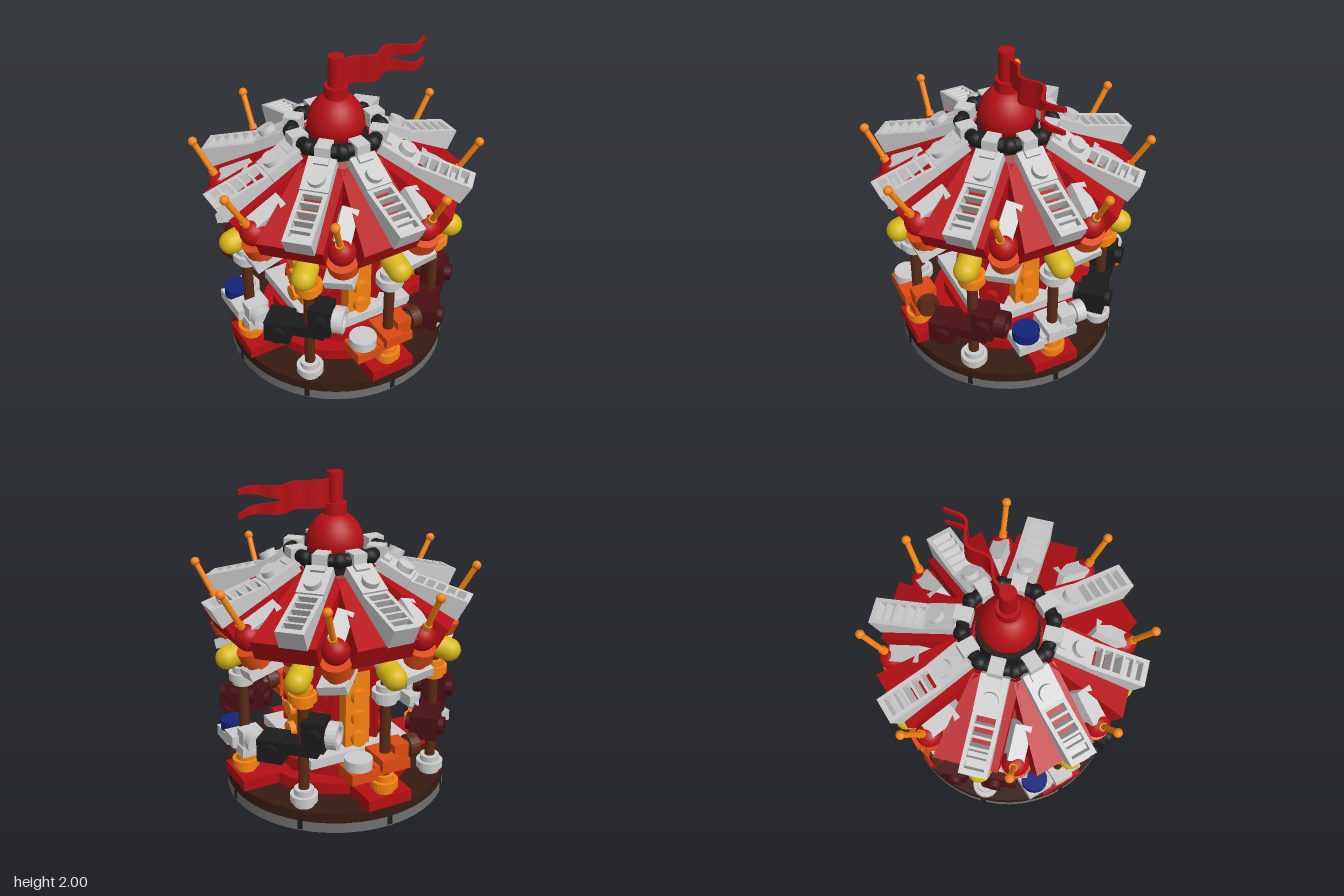
import * as THREE from 'three';

const mat = (color) => new THREE.MeshStandardMaterial({ color });
const M = {
  grey: mat(0xcccccc), white: mat(0xc8c8c8), red: mat(0xb40f14), black: mat(0x1c1c1c), brown: mat(0x351c12),
  pole: mat(0x5a2a14), orange: mat(0xf58210), rust: mat(0xdc4a12), maroon: mat(0x4a1014),
  yellow: mat(0xd8b818), blue: mat(0x14237a), stone: mat(0x707070),
};
M.inner = mat(0x8c0c10);
M.inner.side = THREE.DoubleSide;

function add(parent, name, geo, m, x = 0, y = 0, z = 0) {
  const mesh = new THREE.Mesh(geo, m);
  mesh.name = name;
  mesh.position.set(x, y, z);
  parent.add(mesh);
  return mesh;
}
// Box given by its extents
function block(parent, name, m, x0, x1, y0, y1, z0, z1) {
  return add(parent, name, new THREE.BoxGeometry(x1 - x0, y1 - y0, z1 - z0), m, (x0 + x1) / 2, (y0 + y1) / 2, (z0 + z1) / 2);
}
// Upright cylinder standing from y0 to y1
function drum(parent, name, m, r, y0, y1, x = 0, z = 0, seg = 24) {
  return add(parent, name, new THREE.CylinderGeometry(r, r, y1 - y0, seg), m, x, (y0 + y1) / 2, z);
}
// Round bar between two points
function rod(parent, name, m, r, a, b) {
  const p = new THREE.Vector3(...a), q = new THREE.Vector3(...b), d = q.clone().sub(p);
  const mesh = add(parent, name, new THREE.CylinderGeometry(r, r, d.length(), 16), m);
  mesh.position.copy(p).lerp(q, 0.5);
  mesh.quaternion.setFromUnitVectors(new THREE.Vector3(0, 1, 0), d.normalize());
  return mesh;
}
function group(parent, name) {
  const g = new THREE.Group();
  g.name = name;
  parent.add(g);
  return g;
}
const points = (list) => list.map((p) => new THREE.Vector2(...p));
// Turned part with sharp steps
function stepped(profile) {
  const geo = new THREE.LatheGeometry(points(profile), 24).toNonIndexed();
  geo.computeVertexNormals();
  return geo;
}

// Slatted wedge tile with slots cut through, thickest at the eave
function grilleGeometry() {
  const s = new THREE.Shape(points([[-0.08, -0.34], [0.08, -0.34], [0.08, 0], [-0.08, 0]]));
  for (let i = 0; i < 5; i++) {
    const y = -0.318 + i * 0.06;
    s.holes.push(new THREE.Path(points([[-0.056, y], [-0.056, y + 0.045], [0.056, y + 0.045], [0.056, y]])));
  }
  const geo = new THREE.ExtrudeGeometry(s, { depth: 0.13, bevelEnabled: false }).rotateX(Math.PI / 2);
  const p = geo.attributes.position;
  for (let i = 0; i < p.count; i++) if (p.getY(i) > -0.01) p.setY(i, p.getZ(i) * 0.22);
  geo.computeVertexNormals();
  return geo;
}

// Tapered red roof panel, wider towards the eave on one side
function panelGeometry() {
  const s = new THREE.Shape(points([[-0.13, -0.53], [0.13, -0.53], [0.12, -0.015], [-0.25, -0.015]]));
  return new THREE.ExtrudeGeometry(s, { depth: 0.14, bevelEnabled: false }).rotateX(Math.PI / 2);
}

function roofSector(parent) {
  const g = group(parent, 'roofSector');
  const t = group(g, 'roofSlope');
  t.position.set(0, 1.33, 0.8);
  t.rotation.x = 0.49;
  add(t, 'roofGrille', grilleGeometry(), M.grey);
  block(t, 'grilleEnd', M.grey, -0.075, 0.075, -0.125, -0.06, -0.12, -0.01);
  add(t, 'roofPanel', panelGeometry(), M.red, 0, -0.131, 0);
  block(t, 'studPlate', M.grey, -0.08, 0.08, -0.13, -0.066, -0.55, -0.342);
  drum(t, 'roofStud', M.grey, 0.05, -0.066, -0.03, 0, -0.41);
  block(t, 'hingeArm', M.grey, -0.042, 0.042, -0.12, -0.05, -0.6, -0.5);
  // Clip gripping the crown ring
  block(g, 'ringClip', M.grey, -0.042, 0.042, 1.51, 1.598, 0.2, 0.3);
  // Small sloped block beside the panel
  const side = block(t, 'sideBlock', M.grey, 0.14, 0.235, -0.25, -0.13, -0.31, -0.1);
  side.rotation.z = -0.3;
  // Ball, collar and antenna
  const collar = group(g, 'eaveCollar');
  collar.position.set(0.2, 1.08, 0.6);
  collar.rotation.x = 0.4;
  drum(collar, 'collarDisc', M.rust, 0.09, -0.02, 0.055);
  drum(collar, 'collarBase', M.rust, 0.07, -0.06, -0.02);
  add(g, 'eaveBall', new THREE.SphereGeometry(0.078, 20, 14), M.red, 0.2, 1.19, 0.635);
  rod(g, 'antenna', M.orange, 0.017, [0.2, 1.2, 0.645], [0.205, 1.46, 0.79]);
  rod(g, 'antennaFoot', M.orange, 0.024, [0.2, 1.23, 0.66], [0.2, 1.28, 0.69]);
  add(g, 'antennaTip', new THREE.SphereGeometry(0.027, 14, 10), M.orange, 0.205, 1.46, 0.79);
  const bracket = block(g, 'eaveBracket', M.grey, 0.1, 0.27, 0.965, 1.02, 0.46, 0.66);
  bracket.rotation.set(0.3, 0, 0.2);
  // Lamp arm ending in a yellow capsule
  rod(g, 'lampArm', M.black, 0.055, [0, 1.19, 0.34], [0, 1.08, 0.53]);
  rod(g, 'lampSocket', M.white, 0.06, [0, 1.08, 0.53], [0, 1.045, 0.6]);
  const lamp = add(g, 'lamp', new THREE.CapsuleGeometry(0.068, 0.07, 8, 20), M.yellow, 0, 1.015, 0.655);
  lamp.rotation.x = Math.PI / 2 + 0.3;
}

// Pole with a collared bushing at each end
function poleSet(parent, y0, lower, upper) {
  const g = group(parent, 'ridePole');
  drum(g, 'poleShaft', M.pole, 0.031, y0, 0.96, 0, 0.6, 16);
  const geo = stepped([[0, 0], [0.06, 0], [0.06, 0.03], [0.08, 0.03], [0.08, 0.075], [0.057, 0.075], [0.057, 0.11], [0, 0.11]]);
  add(g, 'lowerBushing', geo, lower, 0, y0, 0.6);
  add(g, 'upperBushing', geo, upper, 0, 0.83, 0.6);
}

// Muzzle with a hollow ring end, pointing along +x
function muzzle(g, m, x, y, r) {
  const geo = stepped([[0, 0], [r * 0.7, 0], [r * 0.7, 0.03], [r, 0.03], [r, 0.09], [r * 0.65, 0.09], [r * 0.65, 0.06], [0, 0.06]]);
  add(g, 'animalMuzzle', geo, m, x, y, 0.6).rotation.z = -Math.PI / 2;
}

// Low seat with a round tile behind
function lowRider(parent, body, head, tile) {
  const g = group(parent, 'lowAnimal');
  block(g, 'animalBody', body, -0.1, 0.13, 0.415, 0.475, 0.53, 0.67);
  block(g, 'animalNeck', body, 0.03, 0.12, 0.43, 0.57, 0.54, 0.66);
  block(g, 'saddleSide', body, -0.07, 0.05, 0.45, 0.52, 0.5, 0.7);
  muzzle(g, head, 0.11, 0.52, 0.065);
  block(g, 'tailPlate', body, -0.25, -0.09, 0.4, 0.465, 0.52, 0.68);
  drum(g, 'tailTile', tile, 0.08, 0.465, 0.525, -0.17, 0.6);
}

// Taller animal with a raised neck
function tallRider(parent, body, head, dy) {
  const g = group(parent, 'tallAnimal');
  g.position.y = dy;
  block(g, 'animalBody', body, -0.12, 0.1, 0.54, 0.61, 0.54, 0.66);
  block(g, 'animalNeck', body, 0.01, 0.14, 0.58, 0.76, 0.53, 0.67);
  block(g, 'animalHaunch', body, -0.25, -0.1, 0.48, 0.62, 0.52, 0.68);
  rod(g, 'haunchStud', body, 0.05, [-0.17, 0.55, 0.49], [-0.17, 0.55, 0.71]);
  rod(g, 'neckStud', body, 0.05, [0.08, 0.68, 0.49], [0.08, 0.68, 0.71]);
  muzzle(g, head, 0.12, 0.67, 0.08);
}

function buildBase(root) {
  const g = group(root, 'base');
  drum(g, 'footDisc', M.black, 0.51, 0.035, 0.075, 0, 0, 40);
  // Underside studs
  for (let i = -3; i <= 3; i++) for (let j = -3; j <= 3; j++) {
    const x = i * 0.145, z = j * 0.145;
    if (Math.hypot(x, z) < 0.47) drum(g, 'footStud', M.black, 0.055, 0, 0.04, x, z, 12);
  }
  for (let i = 0; i < 24; i++) {
    const rim = group(g, 'rimSegment');
    rim.rotation.y = i * Math.PI / 12;
    drum(rim, 'rimStud', M.stone, 0.045, 0.058, 0.08, 0, 0.59, 12);
    if (i % 3) block(rim, 'footEdge', M.black, -0.05, 0.05, 0, 0.06, 0.45, 0.505);
    else block(rim, 'rimNotch', M.black, -0.015, 0.015, 0.08, 0.14, 0.64, 0.677);
  }
  drum(g, 'greyRim', M.stone, 0.675, 0.072, 0.135, 0, 0, 48);
  drum(g, 'brownDeck', M.brown, 0.675, 0.135, 0.2, 0, 0, 48);
  drum(g, 'redDeck', M.red, 0.47, 0.2, 0.27, 0, 0, 40);
  drum(g, 'upperDeck', M.red, 0.4, 0.27, 0.35, 0, 0, 8).rotation.y = Math.PI / 8;
  block(g, 'floorPlate', M.grey, -0.335, 0.335, 0.35, 0.41, -0.335, 0.335);
}

function buildFlag(root) {
  const g = group(root, 'flag');
  for (const s of [1, -1]) {
    // Each half narrows along the swallowtail notch and waves in z
    const geo = new THREE.BoxGeometry(0.56, 1, 0.018, 36, 1, 1), p = geo.attributes.position;
    for (let i = 0; i < p.count; i++) {
      const x = p.getX(i) + 0.32, inner = p.getY(i) * s < 0;
      const gap = Math.max(0, (x - 0.33) / 0.27) * 0.055;
      p.setXYZ(i, x, 1.883 + s * (inner ? gap : 0.08), p.getZ(i) + 0.035 * Math.sin((x - 0.15) * 23) * Math.min(1, x * 4));
    }
    geo.computeVertexNormals();
    add(g, 'flagHalf', geo, M.red);
  }
}

export function createModel() {
  const root = new THREE.Group();
  root.name = 'carousel';
  buildBase(root);

  // Central column
  const core = group(root, 'core');
  drum(core, 'coreFill', M.red, 0.24, 0.4, 1.3, 0, 0, 8);
  drum(core, 'coreCap', M.red, 0.42, 0.95, 1.02, 0, 0, 32);
  drum(core, 'coreUpper', M.red, 0.34, 1.02, 1.26, 0, 0, 16);
  add(core, 'roofLining', new THREE.CylinderGeometry(0.2, 0.54, 0.3, 16, 1, true), M.inner, 0, 1.3, 0);

  for (let i = 0; i < 8; i++) {
    const s = group(root, 'sector');
    s.rotation.y = i * Math.PI / 4;
    const diagonal = i % 2 === 1, m = diagonal ? M.red : M.orange;
    roofSector(s);
    block(s, 'coreColumn', m, -0.08, 0.08, 0.41, 0.95, 0.1, 0.285);
    for (let k = 0; k < 4; k++) rod(s, 'columnStud', m, 0.048, [0, 0.46 + k * 0.135, 0.28], [0, 0.46 + k * 0.135, 0.322]);
    if (diagonal) poleSet(s, 0.2, M.white, M.orange);
    else {
      block(s, 'edgeTile', M.red, -0.14, 0.14, 0.2, 0.27, 0.4, 0.675);
      poleSet(s, 0.27, M.orange, M.white);
    }
    if (i % 4 === 0) lowRider(s, M.rust, M.pole, M.white);
    if (i % 4 === 1) tallRider(s, M.maroon, M.maroon, i === 1 ? -0.1 : 0.05);
    if (i % 4 === 2) lowRider(s, M.grey, M.grey, M.blue);
    if (i % 4 === 3) tallRider(s, M.black, M.white, 0);
  }

  // Crown ring, dome and mast
  const crown = group(root, 'crown');
  add(crown, 'crownRing', new THREE.TorusGeometry(0.25, 0.038, 12, 16).rotateX(Math.PI / 2), M.black, 0, 1.553, 0);
  for (let i = 0; i < 8; i++) {
    const a = (i + 0.5) * Math.PI / 4;
    add(crown, 'ringJoint', new THREE.SphereGeometry(0.046, 12, 8), M.black, Math.sin(a) * 0.255, 1.553, Math.cos(a) * 0.255);
  }
  drum(crown, 'crownHub', M.black, 0.18, 1.4, 1.53);
  const dome = [[0, 1.53], [0.15, 1.53], [0.165, 1.58], [0.165, 1.61], [0.158, 1.65], [0.14, 1.69], [0.115, 1.725], [0.085, 1.75], [0.06, 1.762], [0, 1.765]];
  add(crown, 'dome', new THREE.LatheGeometry(points(dome), 32), M.red);
  drum(crown, 'mastFoot', M.red, 0.067, 1.74, 1.825);
  drum(crown, 'mast', M.red, 0.046, 1.8, 2.0);
  buildFlag(root);
  return root;
}
